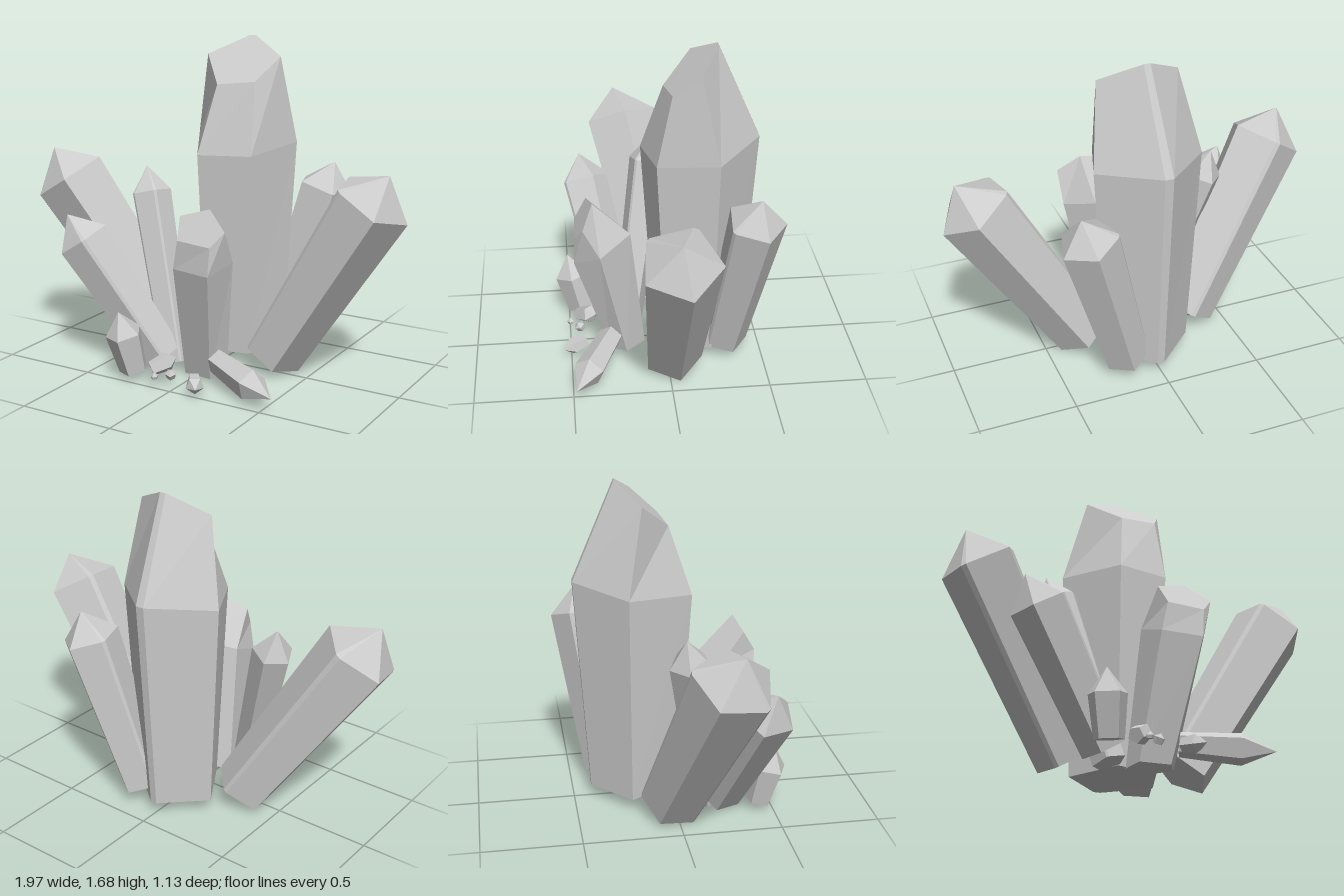
import * as THREE from 'three';

const material = new THREE.MeshStandardMaterial({ color: 0xcccccc, flatShading: true });
const up = new THREE.Vector3(0, 1, 0);

// Closed solid through rings of points (counterclockwise seen from the tip)
function loft(name, rings, tip) {
  const out = [];
  const tri = (...p) => p.forEach((q) => out.push(...q.toArray()));
  const middle = (ring) => ring.reduce((s, p) => s.add(p), new THREE.Vector3()).divideScalar(ring.length);
  const bottom = rings[0];
  const top = rings[rings.length - 1];
  const foot = middle(bottom);
  const peak = tip || middle(top);
  for (let i = 0; i < bottom.length; i++) {
    const j = (i + 1) % bottom.length;
    for (let k = 0; k + 1 < rings.length; k++) {
      const [a, b] = [rings[k], rings[k + 1]];
      tri(a[i], a[j], b[j]);
      tri(a[i], b[j], b[i]);
    }
    tri(top[i], top[j], peak);
    tri(bottom[j], bottom[i], foot);
  }
  const geometry = new THREE.BufferGeometry();
  geometry.setAttribute('position', new THREE.Float32BufferAttribute(out, 3));
  geometry.computeVertexNormals();
  const mesh = new THREE.Mesh(geometry, material);
  mesh.name = name;
  return mesh;
}

// Crystal with a slanted cut top: one outline, scaled and tilted at each level
function cutCrystal(name, outline, levels) {
  return loft(name, levels.map(({ x: [x0, sx], z: [z0, sz], y: [y0, slope] }) =>
    outline.map(([px, pz]) => {
      const z = z0 + sz * pz;
      return new THREE.Vector3(x0 + sx * px, y0 + slope * z, z);
    })));
}

// Five-sided pointed crystal; "roll" turns it from its downhill side, "bevels" lists doubled edges
function crystal(name, base, tip, radius, cap, roll = 0, bevels = []) {
  const foot = new THREE.Vector3(...base);
  const peak = new THREE.Vector3(...tip);
  const axis = peak.clone().sub(foot).normalize();
  const shoulder = peak.clone().addScaledVector(axis, -cap);
  const v = up.clone().cross(axis).normalize();
  const u = v.clone().cross(axis);
  const angles = [];
  for (let i = 0; i < 5; i++) {
    const a = roll + (i / 5) * Math.PI * 2;
    if (bevels.includes(i)) angles.push(a - 0.07, a + 0.07);
    else angles.push(a);
  }
  const ring = (c, r) => angles.map((a) => c.clone()
    .addScaledVector(u, r * Math.cos(a)).addScaledVector(v, r * Math.sin(a)));
  return loft(name, [ring(foot, radius * 0.78), ring(shoulder, radius)], peak);
}

export function createModel() {
  const group = new THREE.Group();
  group.name = 'crystalCluster';

  // Tall central crystal, with a narrow bevel along its back edge
  group.add(cutCrystal('centralCrystal',
    [[-0.075, 0.11], [0.2, 0.05], [0.3, -0.25], [0.03, -0.48], [-0.015, -0.48], [-0.27, -0.23]],
    [
      { x: [0, 0.8], z: [-0.04, 0.77], y: [0.09, 0] },
      { x: [0, 1], z: [0, 1], y: [1.15, -0.13] },
      { x: [0.03, 0.73], z: [-0.05, 0.44], y: [1.48, -0.88] },
    ]));

  // Shorter front crystal, leaning forward
  group.add(cutCrystal('frontCrystal',
    [[-0.005, 0.45], [0.2, 0.47], [0.265, 0.34], [0.14, 0.18], [-0.03, 0.26]],
    [
      { x: [-0.045, 0.75], z: [-0.01, 0.64], y: [0.04, 0] },
      { x: [0, 1], z: [0, 1], y: [0.82, -0.4] },
      { x: [0.03, 0.9], z: [0.31, 0.33], y: [1.567, -1.7] },
    ]));

  // Pointed crystals fanning outwards
  group.add(
    crystal('leftCrystal', [0.3, 0.11, -0.02], [0.915, 1.115, 0], 0.195, 0.16, 0.22, [2, 3]),
    crystal('rightCrystal', [-0.29, 0.11, -0.03], [-0.91, 1.11, 0.2], 0.2, 0.17, -0.82, [1, 4]),
    crystal('backCrystal', [0.16, 0.11, -0.31], [0.43, 1.06, -0.435], 0.15, 0.14, 1.12, [1, 3]),
    crystal('slenderCrystal', [-0.16, 0.05, 0.18], [-0.44, 1.03, 0.02], 0.105, 0.14, 0.38, [1, 2]),
    crystal('rightFrontCrystal', [-0.21, 0.09, 0.24], [-0.67, 0.82, 0.41], 0.14, 0.15, -0.62, [2, 4]),
  );

  // Small crystals and shards at the front
  group.add(
    crystal('smallCrystal', [-0.26, 0.07, 0.43], [-0.3, 0.385, 0.5], 0.095, 0.12, 0.75),
    crystal('lyingCrystal', [0.15, 0.145, 0.29], [0.555, 0.1, 0.485], 0.08, 0.16, -0.69),
    crystal('shardOne', [-0.14, 0.1, 0.45], [-0.05, 0.15, 0.36], 0.05, 0.045),
    crystal('shardTwo', [0.1, 0.09, 0.43], [0.17, 0.08, 0.535], 0.045, 0.05),
    crystal('shardThree', [-0.03, 0.075, 0.44], [-0.02, 0.12, 0.46], 0.028, 0.02),
    crystal('shardFour', [-0.09, 0.075, 0.495], [-0.09, 0.11, 0.5], 0.02, 0.02),
  );

  return group;
}
